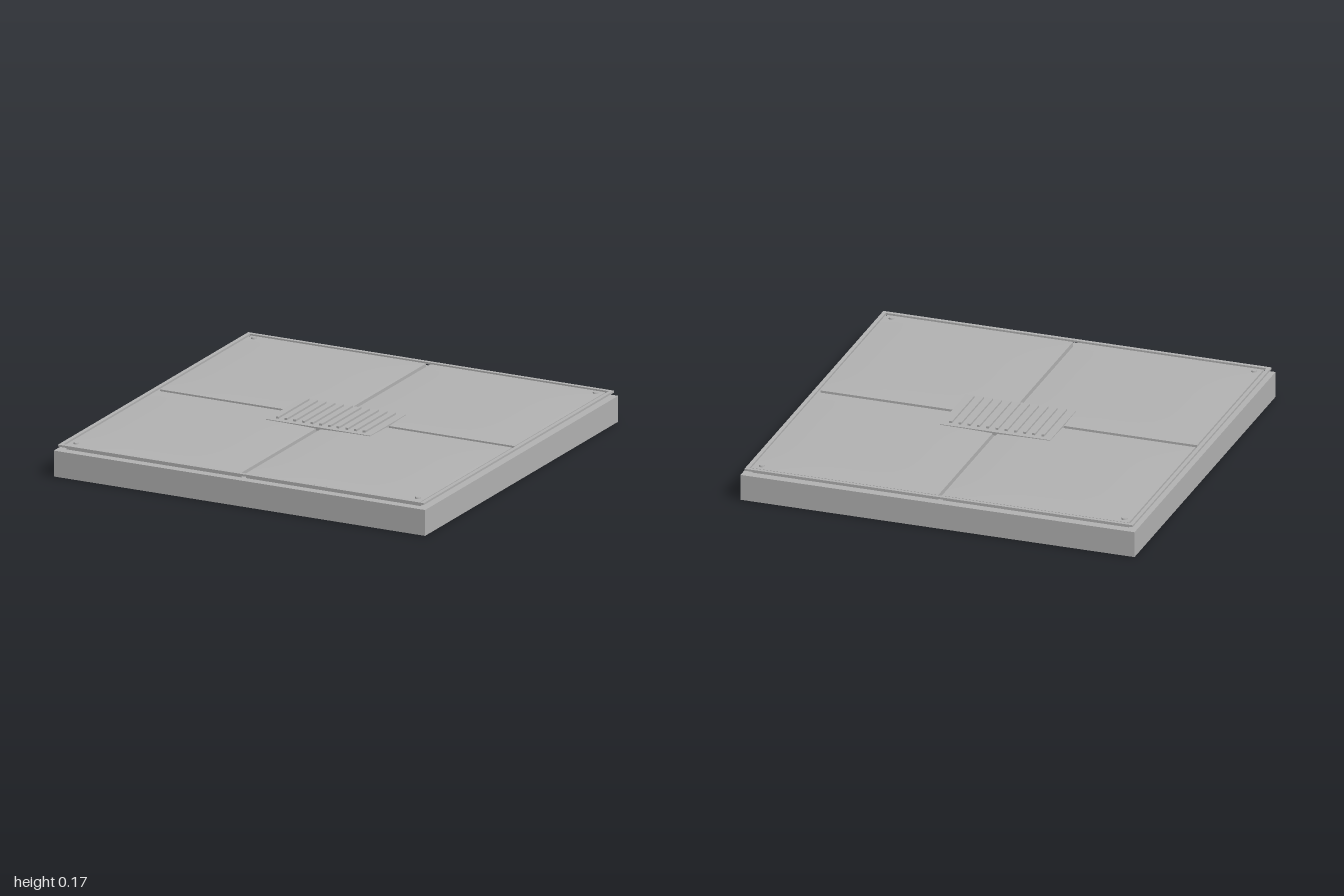
import * as THREE from 'three';

export function createModel() {
  const group = new THREE.Group();
  const grey = new THREE.MeshStandardMaterial({ color: 0xb2b2b2 });
  grey.name = 'plain grey';

  function add(name, geometry, x, y, z) {
    const mesh = new THREE.Mesh(geometry, grey);
    mesh.name = name;
    mesh.position.set(x, y, z);
    group.add(mesh);
    return mesh;
  }
  // Box given by its size and the heights of its bottom and top
  const slab = (name, w, d, y0, y1, x = 0, z = 0) =>
    add(name, new THREE.BoxGeometry(w, y1 - y0, d), x, (y0 + y1) / 2, z);

  slab('base', 2, 2, 0, 0.13);

  // Panel with a faintly crowned top
  const size = 0.943;
  const panel = new THREE.BoxGeometry(size, 0.024, size, 16, 1, 16);
  const p = panel.attributes.position;
  for (let i = 0; i < p.count; i++) {
    if (p.getY(i) < 0) continue;
    const u = p.getX(i) / (size / 2), v = p.getZ(i) / (size / 2);
    p.setY(i, 0.012 + 0.006 * (1 - u ** 4) * (1 - v ** 4));
  }
  panel.computeVertexNormals();
  const bolt = new THREE.CylinderGeometry(0.013, 0.015, 0.012, 16);

  // Four panels, each with a bolt in its outer corner
  for (const sx of [-1, 1]) {
    for (const sz of [-1, 1]) {
      add('floorPanel', panel, sx * 0.4835, 0.142, sz * 0.4835);
      add('cornerBolt', bolt, sx * 0.92, 0.156, sz * 0.92);
    }
  }

  // Thin raised rim with an open centre
  const rim = new THREE.Shape([[-1, -1], [1, -1], [1, 1], [-1, 1]]
    .map(([x, y]) => new THREE.Vector2(x * 0.985, y * 0.985)));
  rim.holes.push(new THREE.Path([[-1, -1], [-1, 1], [1, 1], [1, -1]]
    .map(([x, y]) => new THREE.Vector2(x * 0.966, y * 0.966))));
  const rimGeometry = new THREE.ExtrudeGeometry(rim, { depth: 0.01, bevelEnabled: false });
  rimGeometry.rotateX(-Math.PI / 2);
  add('edgeRim', rimGeometry, 0, 0.148, 0);

  // Central vent plate and its bars
  slab('ventPlate', 0.56, 0.37, 0.145, 0.162);
  for (let i = -5; i <= 5; i++) {
    slab('ventBar', 0.014, 0.32, 0.164, 0.174, i * 0.0468, 0);
  }
  return group;
}
